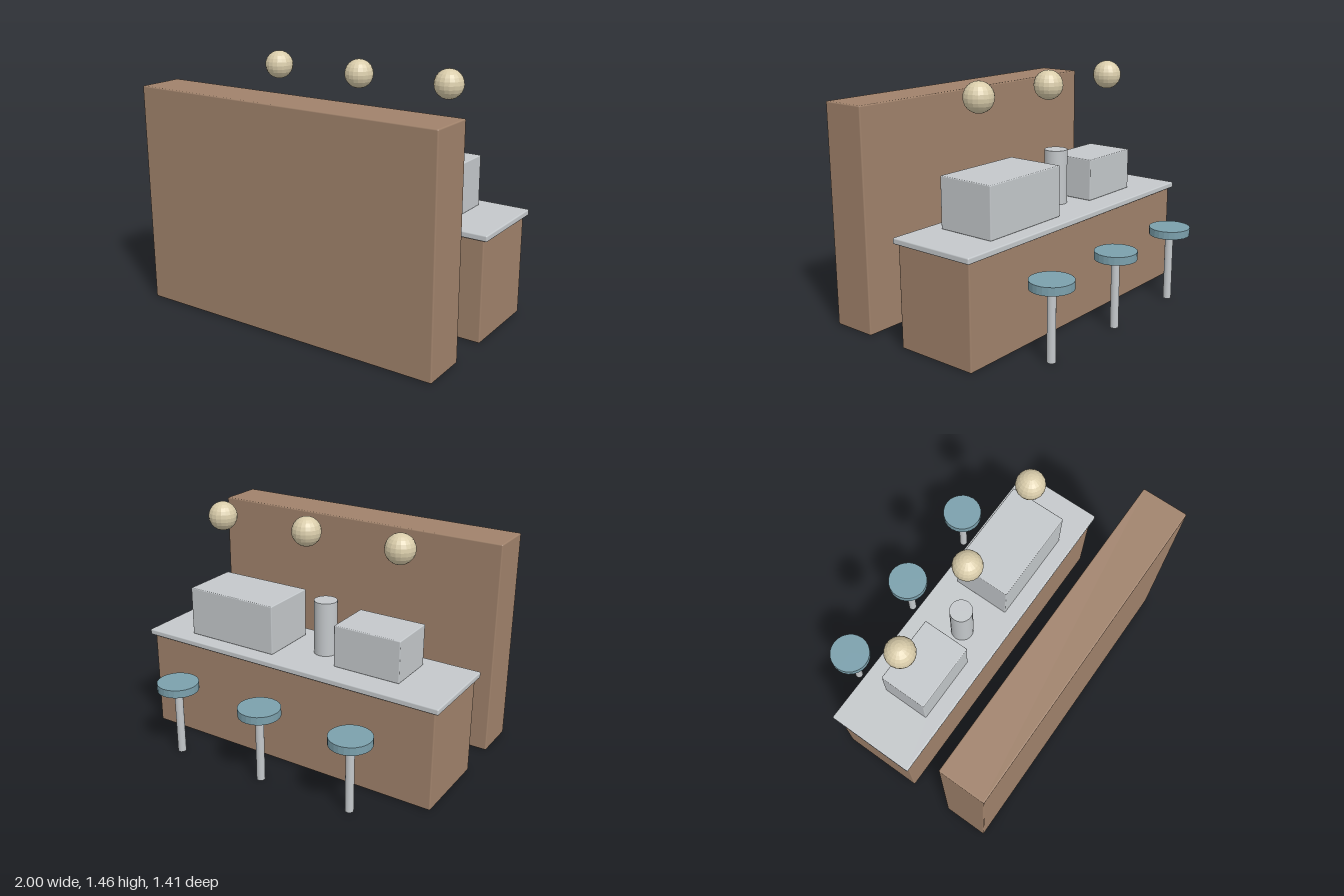
import * as THREE from 'three';
import { RoundedBoxGeometry } from 'three/addons/geometries/RoundedBoxGeometry.js';

const material = (name, color, flatShading = false) => {
  const m = new THREE.MeshStandardMaterial({ color, flatShading });
  m.name = name;
  return m;
};

export function createModel() {
  const group = new THREE.Group();
  const wood = material('wood', 0xa0826b);
  const metal = material('metal', 0xc4c8cb);
  const teal = material('tealSeat', 0x7ba0ac, true);
  const cream = material('creamGlobe', 0xd9ccaa, true);

  const add = (name, geometry, mat, x, y, z, parent = group) => {
    const mesh = new THREE.Mesh(geometry, mat);
    mesh.name = name;
    mesh.position.set(x, y, z);
    parent.add(mesh);
    return mesh;
  };
  // Softly bevelled box given by its extents
  const box = (name, mat, [x0, x1], [y0, y1], [z0, z1], bevel = 0.008) =>
    add(name, new RoundedBoxGeometry(x1 - x0, y1 - y0, z1 - z0, 2, bevel), mat,
      (x0 + x1) / 2, (y0 + y1) / 2, (z0 + z1) / 2);

  // Back bar wall and serving counter
  box('backBar', wood, [-0.975, 0.975], [0, 1.322], [0.427, 0.707]);
  box('counterBase', wood, [-0.975, 0.975], [0, 0.606], [-0.348, 0.165]);
  box('counterTop', metal, [-1, 1], [0.606, 0.642], [-0.368, 0.182]);

  // Appliances standing on the counter
  box('largeMachine', metal, [0.125, 0.725], [0.642, 0.945], [-0.275, 0.087], 0.006);
  box('smallMachine', metal, [-0.685, -0.262], [0.642, 0.897], [-0.213, 0.085], 0.006);
  add('canister', new THREE.CylinderGeometry(0.069, 0.069, 0.33, 24), metal, -0.114, 0.807, -0.063);

  // A stool and a hanging globe at each of three stations
  for (const x of [-0.6, 0, 0.6]) {
    const stool = new THREE.Group();
    stool.name = 'stool';
    stool.position.set(x, 0, -0.583);
    group.add(stool);
    add('stoolLeg', new THREE.CylinderGeometry(0.025, 0.025, 0.42, 16), metal, 0, 0.21, 0, stool);
    add('stoolSeat', new THREE.CylinderGeometry(0.125, 0.125, 0.048, 24), teal, 0, 0.444, 0, stool);
    add('lampGlobe', new THREE.SphereGeometry(0.087, 18, 12), cream, x, 1.374, -0.092);
  }
  return group;
}
